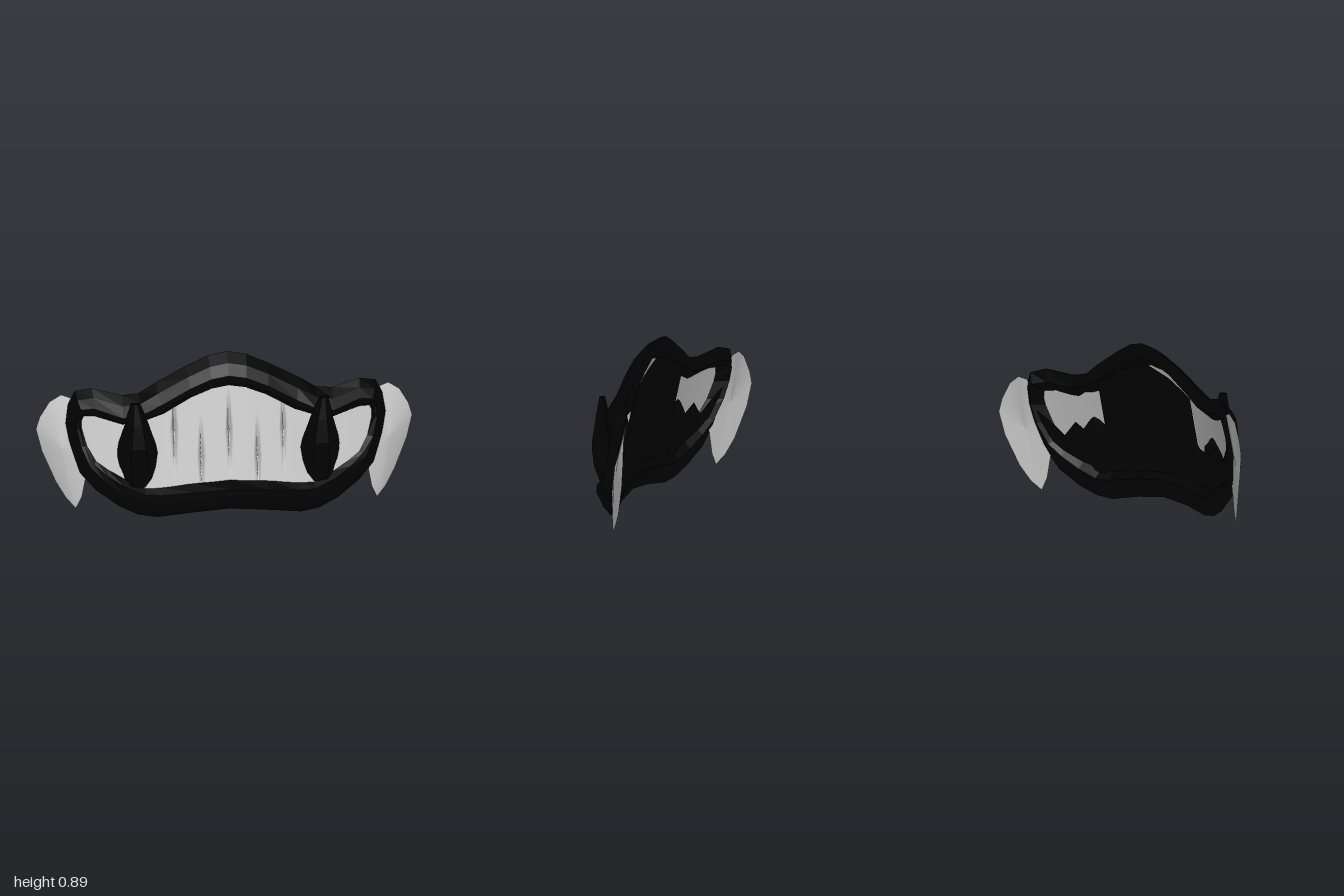
import * as THREE from 'three';

const grey = new THREE.MeshStandardMaterial({ color: 0xcccccc, side: THREE.DoubleSide });
const black = new THREE.MeshStandardMaterial({ color: 0x010101, side: THREE.DoubleSide });
const lerp = THREE.MathUtils.lerp;

// Skins a list of cross-sections; each section is a list of [x, y, z].
function loft(sections, { around = true, along = false } = {}) {
  const n = sections[0].length, m = sections.length, index = [];
  for (let i = 0; i < (along ? m : m - 1); i++) {
    for (let j = 0; j < (around ? n : n - 1); j++) {
      const k = (j + 1) % n, r = ((i + 1) % m) * n;
      const a = i * n + j, b = i * n + k, c = r + k, d = r + j;
      index.push(a, b, c, a, c, d);
    }
  }
  const g = new THREE.BufferGeometry();
  g.setAttribute('position', new THREE.Float32BufferAttribute(sections.flat(2), 3));
  g.setIndex(index);
  g.computeVertexNormals();
  return g;
}

function add(parent, name, geometry, material) {
  const mesh = new THREE.Mesh(geometry, material);
  mesh.name = name;
  parent.add(mesh);
}

// Piecewise-linear curve y(|x|) through a few points
const curve = pts => x => {
  x = Math.abs(x);
  let i = 1;
  while (i < pts.length - 1 && pts[i][0] < x) i++;
  const [x0, y0] = pts[i - 1], [x1, y1] = pts[i];
  return lerp(y0, y1, (x - x0) / (x1 - x0));
};

// Lip frame, half of it from top centre to bottom centre:
// outer x, y, z | inner x, y, z | front z | back z
const stations = [
  [0, .887, -.055, 0, .735, .05, .06, -.04],
  [.1, .87, -.05, .09, .72, .05, .063, -.04],
  [.22, .815, -.045, .2, .675, .05, .065, -.04],
  [.38, .73, -.04, .35, .585, .05, .065, -.045],
  [.47, .67, -.045, .46, .545, .05, .075, -.065],
  [.56, .655, -.06, .56, .515, .005, .05, -.06],
  [.71, .677, -.12, .7, .545, -.05, -.035, -.125],
  [.8, .65, -.155, .76, .54, -.07, -.055, -.165],
  [.835, .58, -.15, .77, .515, -.075, -.06, -.165],
  [.85, .48, -.125, .77, .47, -.07, -.055, -.15],
  [.83, .37, -.1, .745, .38, -.04, -.035, -.125],
  [.78, .22, -.06, .7, .305, -.005, .01, -.085],
  [.7, .13, -.035, .64, .265, .02, .05, -.05],
  [.58, .05, .01, .56, .225, .05, .1, -.015],
  [.48, .01, .04, .45, .183, .08, .13, .01],
  [.38, 0, .06, .37, .186, .1, .15, .03],
  [.2, .03, .09, .2, .21, .125, .185, .05],
  [0, .05, .1, 0, .225, .13, .205, .06],
];

function lipSection([ox, oy, zo, ix, iy, zi, zf, zb], side) {
  const at = (t, z) => [side * lerp(ox, ix, t), lerp(oy, iy, t), z];
  return [at(0, zo), at(.27, lerp(zo, zf, .6)), at(.63, zf), at(.85, zf), at(1, zi), at(.55, zb)];
}

function lipGeometry() {
  const right = stations.map(s => lipSection(s, 1));
  const left = stations.slice(1, -1).reverse().map(s => lipSection(s, -1));
  const g = loft([...right, ...left], { along: true }).toNonIndexed();
  g.computeVertexNormals();
  return g;
}

// Post between the middle and side openings: y, inner x, outer x, front z, back z
function postGeometry() {
  const rows = [
    [.666, .495, .505, .095, .09], [.665, .475, .525, .105, .075], [.545, .43, .55, .125, .05],
    [.42, .39, .583, .14, .022], [.37, .38, .59, .139, .02], [.29, .378, .585, .13, .02],
    [.19, .393, .575, .09, .03], [.1, .43, .54, .06, .03],
  ];
  const g = loft(rows.map(([y, a, b, z, back]) => {
    const w = b - a;
    return [[b, y, back], [b - w * .3, y, z], [a + w * .3, y, z], [a, y, lerp(back, z, .35)],
      [(a + b) / 2, y, back]];
  })).toNonIndexed();
  g.computeVertexNormals();
  return g;
}

// Teeth: a curved sheet split along a zigzag bite line
const gumTop = curve([[0, .78], [.2, .72], [.45, .6], [.56, .58], [.72, .6], [.8, .57]]);
const gumBottom = curve([[0, .15], [.45, .12], [.6, .18], [.72, .27], [.8, .42]]);
const bite = curve([[0, .48], [.15, .34], [.29, .48], [.4, .36], [.49, .34], [.57, .4], [.65, .32], [.72, .39], [.8, .45]]);
const tips = [0, .15, .29];

function sheetPoint(x, y, offset, grooved) {
  let z = .135 - .22 * (y - .2) - .25 * x * x + offset;
  // wedge-shaped crease, widest and deepest at each tooth tip
  if (grooved) for (const t of tips) {
    const fade = Math.max(0, 1 - Math.abs(y - bite(t)) / .22);
    const near = Math.max(0, 1 - Math.abs(Math.abs(x) - t) / (.006 + .012 * fade));
    z -= .04 * near * fade;
  }
  return [x, y, z];
}

function sheet(low, high, half, offset, grooved) {
  const sections = [], cols = Math.round(half * 400), rows = 14;
  for (let r = 0; r <= rows; r++) {
    const row = [];
    for (let c = 0; c <= cols; c++) {
      const x = (1 - c / cols * 2) * half;
      row.push(sheetPoint(x, lerp(high(x), low(x), r / rows), offset, grooved));
    }
    sections.push(row);
  }
  return loft(sections, { around: false });
}

// Cheek fin: a thin shell bulging gently to the front
function addFin(parent) {
  const rim = [
    [.82, .61, -.16], [.87, .622, -.178], [.93, .58, -.187], [.98, .49, -.2], [1, .42, -.205], [.97, .3, -.188],
    [.9, .14, -.145], [.85, .06, -.11], [.8, .012, -.075], [.77, .08, -.063], [.745, .22, -.055], [.78, .42, -.09],
  ];
  const centre = [.87, .34, -.133];
  const ring = (t, bulge) => rim.map(p => p.map((v, k) => lerp(centre[k], v, t) + (k === 2 ? bulge : 0)));
  add(parent, 'cheekFinFront', loft([ring(0, .018), ring(.4, .016), ring(.75, .01), ring(1, 0)]), grey);
  add(parent, 'cheekFinBack', loft([ring(1, 0), ring(.6, 0), ring(0, 0)]), grey);
}

export function createModel() {
  const model = new THREE.Group();
  model.name = 'mouth';
  add(model, 'lips', lipGeometry(), black);
  add(model, 'upperTeeth', sheet(bite, gumTop, .79, 0, true), grey);
  add(model, 'lowerTeeth', sheet(gumBottom, bite, .79, 0, true), grey);

  // Dark lining behind the middle and behind the lower teeth
  add(model, 'mouthLining', sheet(bite, gumTop, .38, -.045, false), black);
  add(model, 'lowerLining', sheet(gumBottom, bite, .79, -.045, false), black);

  for (const side of [1, -1]) {
    const half = new THREE.Group();
    half.name = side > 0 ? 'leftSide' : 'rightSide';
    half.scale.x = side;
    add(half, 'lipPost', postGeometry(), black);
    addFin(half);
    model.add(half);
  }
  return model;
}
